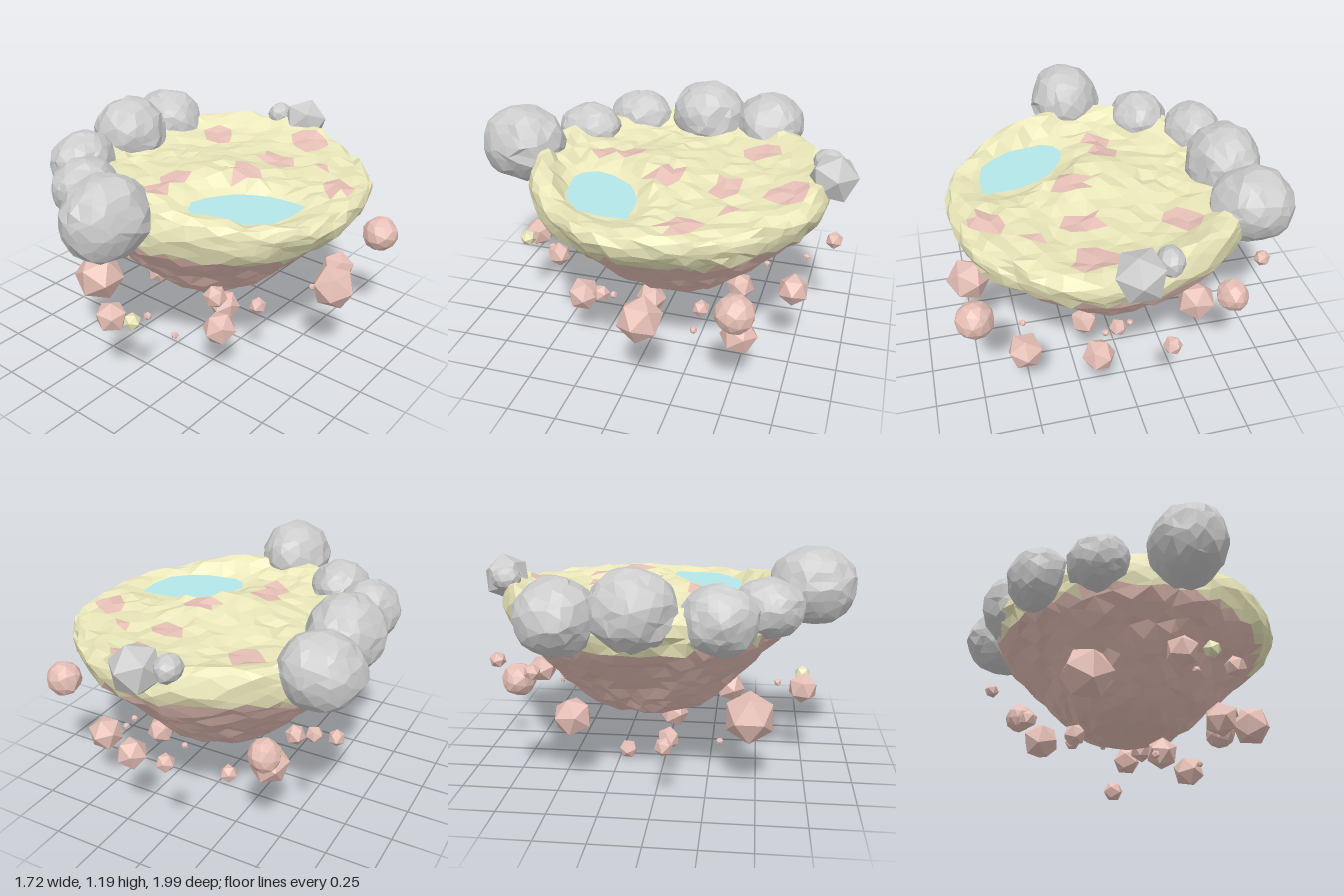
import * as THREE from 'three';

const paint = (color) => new THREE.MeshStandardMaterial({ color, flatShading: true });
const soil = paint(0xe6bfb6), grass = paint(0xeae7ba), stone = paint(0xcccccc);
const water = new THREE.MeshStandardMaterial({ color: 0xb4e6e8, side: THREE.DoubleSide });

// Repeatable bumpiness from a position, about -1..1
const bump = (x, y, z, f) =>
  (Math.sin(f * x + 1.7 * f * z + 1) + Math.sin(1.3 * f * y - f * z + 2) + Math.sin(f * z + 1.1 * f * x - 0.8 * f * y)) / 3;

// Shifts a point of a unit sphere sideways so the facets turn irregular
function jitter(v, amount) {
  const { x, y, z } = v;
  return v.set(x + amount * bump(y, z, x, 37), y + amount * bump(z, x, y, 41), z + amount * bump(x, y, z, 43)).normalize();
}

// Island profile from the middle of the top, over the rim, to the lowest point
const profile = new THREE.SplineCurve([
  [0, 0.955], [0.16, 0.955], [0.32, 0.945], [0.47, 0.945], [0.61, 0.955], [0.73, 0.965], [0.77, 0.9],
  [0.735, 0.8], [0.63, 0.69], [0.51, 0.57], [0.41, 0.46], [0.3, 0.375], [0.16, 0.32], [0, 0.305],
].map(([r, y]) => new THREE.Vector2(r, y)));

// Bare earth spots on the grass: x, z, radius
const spots = [
  [-0.28, -0.45, 0.1], [0.19, -0.36, 0.085], [0.2, -0.68, 0.1], [0.44, -0.44, 0.055],
  [0.62, -0.26, 0.09], [0.19, -0.07, 0.09], [-0.06, 0.2, 0.07], [-0.05, 0.34, 0.07],
];

// How far a point lies from the pond centre; 1 is the shore
function pondDistance(x, z) {
  const dx = x - 0.4, dz = z - 0.19;
  return Math.hypot((dx * 0.78 - dz * 0.625) / 0.29, (dx * 0.625 + dz * 0.78) / 0.17);
}

// Bends a sphere direction onto the island
function islandPoint(d) {
  jitter(d, 0.035);
  const u = Math.acos(THREE.MathUtils.clamp(d.y, -1, 1)) / Math.PI;
  const p = profile.getPoint(u);
  const a = Math.atan2(d.z, d.x);
  const low = THREE.MathUtils.clamp((0.87 - p.y) / 0.57, 0, 1);
  const r = p.x * (1 + 0.02 * bump(d.x, d.y, d.z, 17) + 0.02 * bump(d.x, d.y, d.z, 5));
  const x = 0.04 - 0.03 * low + Math.cos(a) * r * (1 - 0.07 * low);
  const z = -0.09 + 0.01 * low + Math.sin(a) * r * (1 + 0.07 * low);
  let y = p.y + 0.02 * bump(d.x, d.y, d.z, 23) * (u > 0.9 ? 0.4 : 1);
  // raised rim, lower towards +x
  const rim = 0.05 - 0.07 * THREE.MathUtils.smoothstep(x - 0.2 * z, 0.2, 0.6);
  y += rim * Math.exp(-(((u - 0.37) / 0.06) ** 2));
  if (u < 0.45) {
    y += 0.05 * Math.exp(-((x - 0.1) ** 2 + (z - 0.05) ** 2) / 0.07);
    const q = pondDistance(x, z);
    if (q < 1.3) y = Math.min(y, 0.9 + 0.045 * Math.max(0, q - 0.8) / 0.5);
  }
  return new THREE.Vector3(x, y, z);
}

function meshOf(points, material, name) {
  const g = new THREE.BufferGeometry().setFromPoints(points);
  g.computeVertexNormals();
  const m = new THREE.Mesh(g, material);
  m.name = name;
  return m;
}

// Island, its facets sorted into grass and earth
function makeIsland() {
  const pos = new THREE.IcosahedronGeometry(1, 9).attributes.position;
  const green = [], earth = [], c = new THREE.Vector3();
  for (let i = 0; i < pos.count; i += 3) {
    const tri = [0, 1, 2].map((k) => islandPoint(new THREE.Vector3().fromBufferAttribute(pos, i + k)));
    c.copy(tri[0]).add(tri[1]).add(tri[2]).divideScalar(3);
    const edge = 0.8 - 0.1 * Math.max(c.x, 0) + 0.04 * Math.abs(c.z) + 0.015 * bump(c.x, c.y, c.z, 11);
    const bare = c.y > 0.88 && spots.some(([x, z, r]) => Math.hypot(c.x - x, c.z - z) < r);
    (c.y < edge || bare ? earth : green).push(...tri);
  }
  const island = new THREE.Group();
  island.name = 'island';
  island.add(meshOf(green, grass, 'grass'), meshOf(earth, soil, 'earth'));
  return island;
}

function makePond() {
  const shore = [[0.615, 0], [0.52, 0], [0.42, 0.012], [0.33, 0.055], [0.26, 0.1], [0.18, 0.22], [0.155, 0.31],
    [0.19, 0.375], [0.25, 0.405], [0.43, 0.375], [0.52, 0.32], [0.595, 0.25], [0.62, 0.13]];
  const shape = new THREE.Shape(shore.map(([x, z]) => new THREE.Vector2(x, -z)));
  const pond = new THREE.Mesh(new THREE.ShapeGeometry(shape).rotateX(-Math.PI / 2), water);
  pond.position.y = 0.932;
  pond.name = 'pond';
  return pond;
}

// Faceted lump: detail 0 is a plain icosahedron, higher ones are dented
function makeRock(name, material, at, size, detail, turn) {
  const g = new THREE.IcosahedronGeometry(1, detail);
  g.rotateY(turn).rotateX(turn * 0.6);
  if (detail > 0) {
    const pos = g.attributes.position, v = new THREE.Vector3();
    for (let i = 0; i < pos.count; i++) {
      jitter(v.fromBufferAttribute(pos, i), 0.13);
      v.multiplyScalar(1 + 0.045 * bump(v.x + turn, v.y, v.z, 4) + 0.05 * bump(v.x, v.y + turn, v.z, 13));
      pos.setXYZ(i, v.x, v.y, v.z);
    }
    // fit to the unit box so that size gives the true radii
    g.center();
    g.computeBoundingBox();
    const { max } = g.boundingBox;
    g.scale(1 / max.x, 1 / max.y, 1 / max.z);
  }
  g.scale(...size);
  g.computeVertexNormals();
  const m = new THREE.Mesh(g, material);
  m.position.set(...at);
  m.name = name;
  return m;
}

// Boulders on the rim: centre, radii, detail
const boulders = [
  [[0.04, 0.99, 0.77], [0.195, 0.205, 0.225], 3],
  [[-0.345, 0.955, 0.535], [0.16, 0.155, 0.175], 3],
  [[-0.59, 0.955, 0.31], [0.168, 0.168, 0.185], 3],
  [[-0.62, 0.995, -0.085], [0.2, 0.205, 0.215], 3],
  [[-0.645, 0.965, -0.435], [0.215, 0.19, 0.2], 3],
  [[0.045, 1.0, -0.87], [0.13, 0.13, 0.13], 0],
  [[-0.1, 1.02, -0.83], [0.065, 0.07, 0.078], 1],
];

// Floating debris: x, y, z, radius
const debris = [
  [-0.365, 0.4, 0.46, 0.136], [-0.32, 0.25, 0.05, 0.06], [0.155, 0.21, 0.03, 0.085],
  [-0.04, 0.055, -0.205, 0.052], [0.025, 0.095, 0.3, 0.022], [0.005, 0.435, 0.74, 0.083],
  [0.36, 0.305, 0.34, 0.09], [0.525, 0.33, -0.53, 0.095], [0.485, 0.415, 0.19, 0.045],
  [0.41, 0.56, 0.44, 0.06], [0.505, 0.3, -0.3, 0.02], [0.745, 0.485, -0.1, 0.115],
  [0.755, 0.61, -0.55, 0.092], [-0.68, 0.705, -0.55, 0.042], [-0.49, 0.6, -0.67, 0.082],
  [-0.56, 0.305, 0.05, 0.048], [0.125, 0.42, 0.61, 0.021], [-0.11, 0.575, -0.9, 0.047],
  [0.2, 0.43, -0.74, 0.083], [0.21, 0.41, -0.47, 0.072], [0.18, 0.62, -0.79, 0.018],
  [0, 0.44, -0.57, 0.018], [-0.4, 0.38, -0.43, 0.105],
];

export function createModel() {
  const model = new THREE.Group();
  model.name = 'floatingIsland';
  model.add(makeIsland(), makePond());
  boulders.forEach(([at, size, detail], i) =>
    model.add(makeRock('boulder', stone, at, size, detail, i * 1.3)));
  debris.forEach(([x, y, z, r], i) => {
    const round = i === 12 || i === 14;
    model.add(makeRock('floatingRock', soil, [x, y, z], [r, r, r], round ? 1 : 0, i * 0.9));
  });
  model.add(makeRock('floatingTurf', grass, [0.15, 0.468, 0.745], [0.045, 0.045, 0.045], 0, 0.5));
  return model;
}
